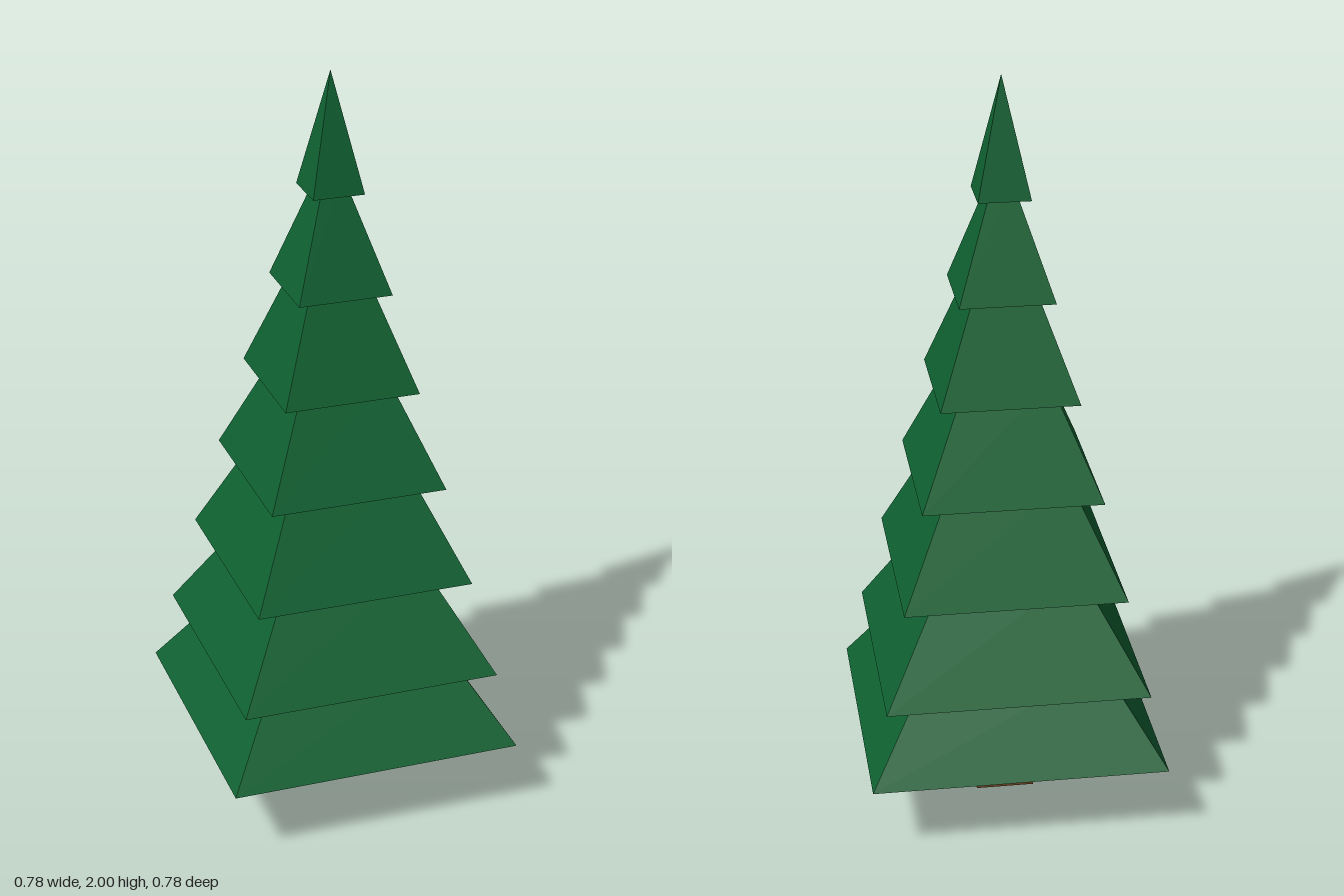
import * as THREE from 'three';

// Four-sided frustum with sides square to the axes, sized by half-widths
function squareFrustum(topHalf, bottomHalf, y0, y1) {
  const g = new THREE.CylinderGeometry(topHalf * Math.SQRT2, bottomHalf * Math.SQRT2, y1 - y0, 4)
    .rotateY(Math.PI / 4)
    .translate(0, (y0 + y1) / 2, 0)
    .toNonIndexed();
  g.computeVertexNormals(); // flat facets
  return g;
}

export function createModel() {
  const tree = new THREE.Group();
  tree.name = 'pineTree';
  const needles = new THREE.MeshStandardMaterial({ color: 0x0f6232 });
  needles.name = 'needleGreen';
  const bark = new THREE.MeshStandardMaterial({ color: 0x6e4424 });
  bark.name = 'barkBrown';

  // Trunk
  const trunk = new THREE.Mesh(new THREE.BoxGeometry(0.156, 0.21, 0.156), bark);
  trunk.position.y = 0.105;
  trunk.name = 'trunk';
  tree.add(trunk);

  // Branch tiers: [bottom y, bottom half-width, half-width where the next tier starts]
  const tiers = [
    [0.204, 0.391, 0.262],
    [0.406, 0.347, 0.202],
    [0.662, 0.292, 0.172],
    [0.92, 0.236, 0.127],
    [1.176, 0.18, 0.087],
    [1.433, 0.124, 0.038],
    [1.69, 0.068, 0],
  ];
  tiers.forEach(([y, half, topHalf], i) => {
    const last = i === tiers.length - 1;
    const nextY = last ? 2 : tiers[i + 1][0];
    // Carry the slope a little way up inside the next tier
    const tuck = last ? 0 : 0.04;
    const innerHalf = topHalf - ((half - topHalf) / (nextY - y)) * tuck;
    const tier = new THREE.Mesh(squareFrustum(innerHalf, half, y, nextY + tuck), needles);
    tier.name = `branchTier${i + 1}`;
    tree.add(tier);
  });
  return tree;
}
